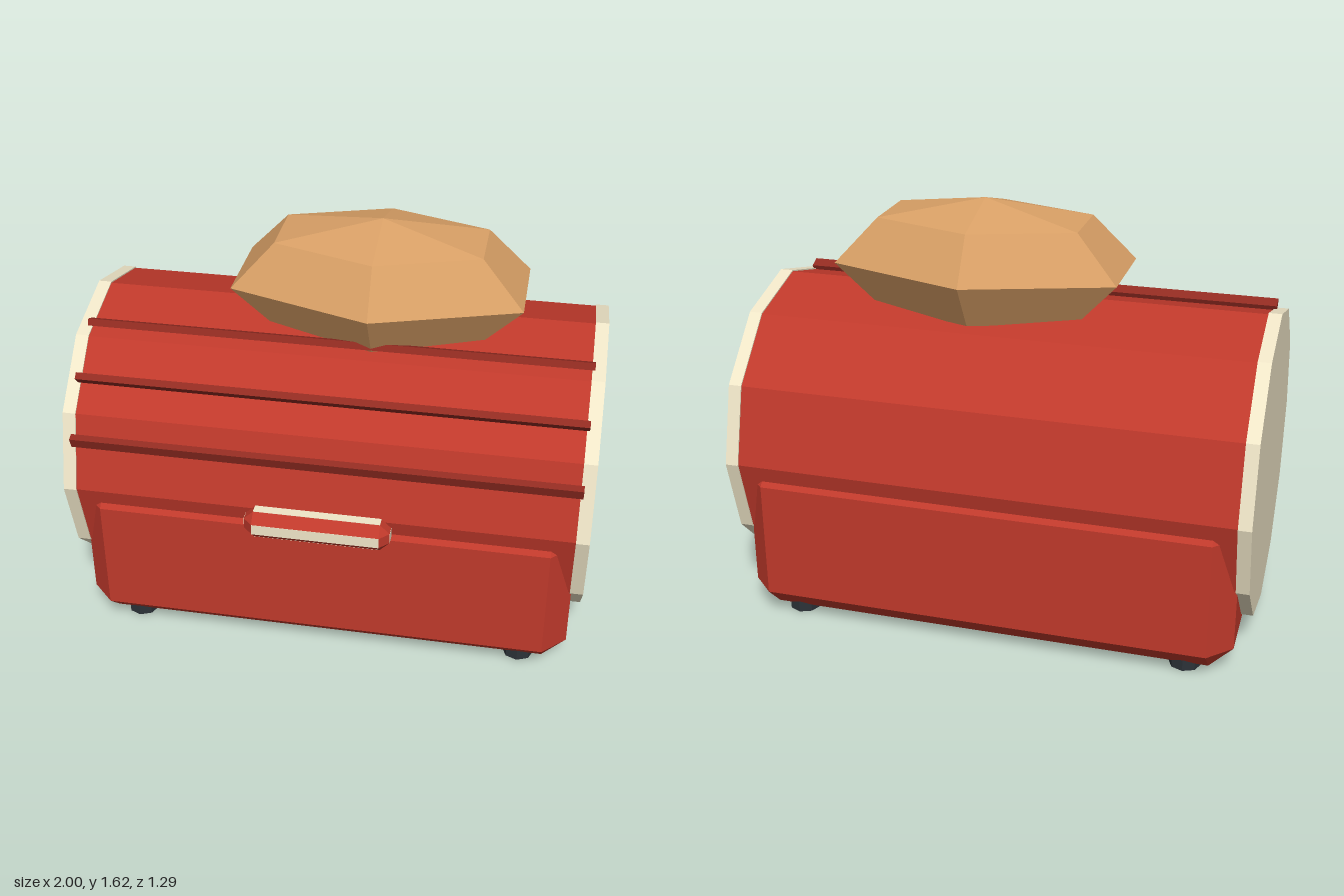
import * as THREE from 'three';
import { ConvexGeometry } from 'three/addons/geometries/ConvexGeometry.js';

const mat = (color) => new THREE.MeshStandardMaterial({ color, flatShading: true });
const red = mat(0xc0392b);
const darkRed = mat(0x922b21);
const cream = mat(0xf0e6c8);
const crust = mat(0xd9a066);
const rubber = mat(0x2c3238);

// Box with every edge chamfered by b
function chamferBox(w, h, d, b) {
  const [x, y, z] = [w / 2, h / 2, d / 2];
  const points = [];
  for (const sx of [-1, 1]) for (const sy of [-1, 1]) for (const sz of [-1, 1]) {
    points.push(
      new THREE.Vector3(sx * x, sy * (y - b), sz * (z - b)),
      new THREE.Vector3(sx * (x - b), sy * y, sz * (z - b)),
      new THREE.Vector3(sx * (x - b), sy * (y - b), sz * z));
  }
  return new ConvexGeometry(points);
}

export function createModel() {
  const model = new THREE.Group();
  model.name = 'breadBin';
  const midZ = -0.047;
  const drumY = 0.66;

  function add(name, geometry, material, x, y, z, parent = model) {
    const mesh = new THREE.Mesh(geometry, material);
    mesh.name = name;
    mesh.position.set(x, y, z);
    parent.add(mesh);
    return mesh;
  }

  // Twelve-sided drum lying along x, with cream end discs
  const drum = (r, length) => new THREE.CylinderGeometry(r, r, length, 12).rotateZ(Math.PI / 2);
  add('drum', drum(0.59, 1.9), red, 0, drumY, midZ);
  for (const s of [-1, 1]) {
    add(s > 0 ? 'leftEndCap' : 'rightEndCap', drum(0.595, 0.05), cream, s * 0.975, drumY, midZ);
  }

  // Chamfered base the drum sits in
  add('base', chamferBox(1.91, 0.64, 1.18, 0.09), red, 0, 0.348, midZ);

  // Feet
  for (const x of [-0.772, 0.772]) for (const z of [-0.457, 0.457]) {
    add('foot', new THREE.CylinderGeometry(0.062, 0.062, 0.05, 8), rubber, x, 0.025, midZ + z);
  }

  // Ribs across the front of the lid
  for (const [y, z, tilt] of [[0.865, 0.513, 20], [1.068, 0.386, 43], [1.205, 0.195, 66]]) {
    const rib = add('lidRib', new THREE.BoxGeometry(1.92, 0.045, 0.027), darkRed, 0, y, z);
    rib.rotation.x = THREE.MathUtils.degToRad(tilt);
  }

  // Handle: red chamfers with cream flat faces
  const handle = new THREE.Group();
  handle.name = 'handle';
  handle.position.set(0, 0.638, 0.59);
  model.add(handle);
  const size = [0.55, 0.114, 0.11];
  const bevel = 0.036;
  add('handleBar', chamferBox(...size, bevel), red, 0, 0, 0, handle);
  for (let axis = 0; axis < 3; axis++) {
    const inlay = size.map((s, i) => (i === axis ? s + 0.002 : s - 2 * bevel));
    add('handleInlay', new THREE.BoxGeometry(...inlay), cream, 0, 0, 0, handle);
  }

  // Faceted loaf resting on top
  const loaf = new THREE.SphereGeometry(1, 6, 4).rotateY(Math.PI / 2).scale(0.635, 0.25, 0.363);
  add('loaf', loaf, crust, 0.135, 1.365, -0.05);

  return model;
}
